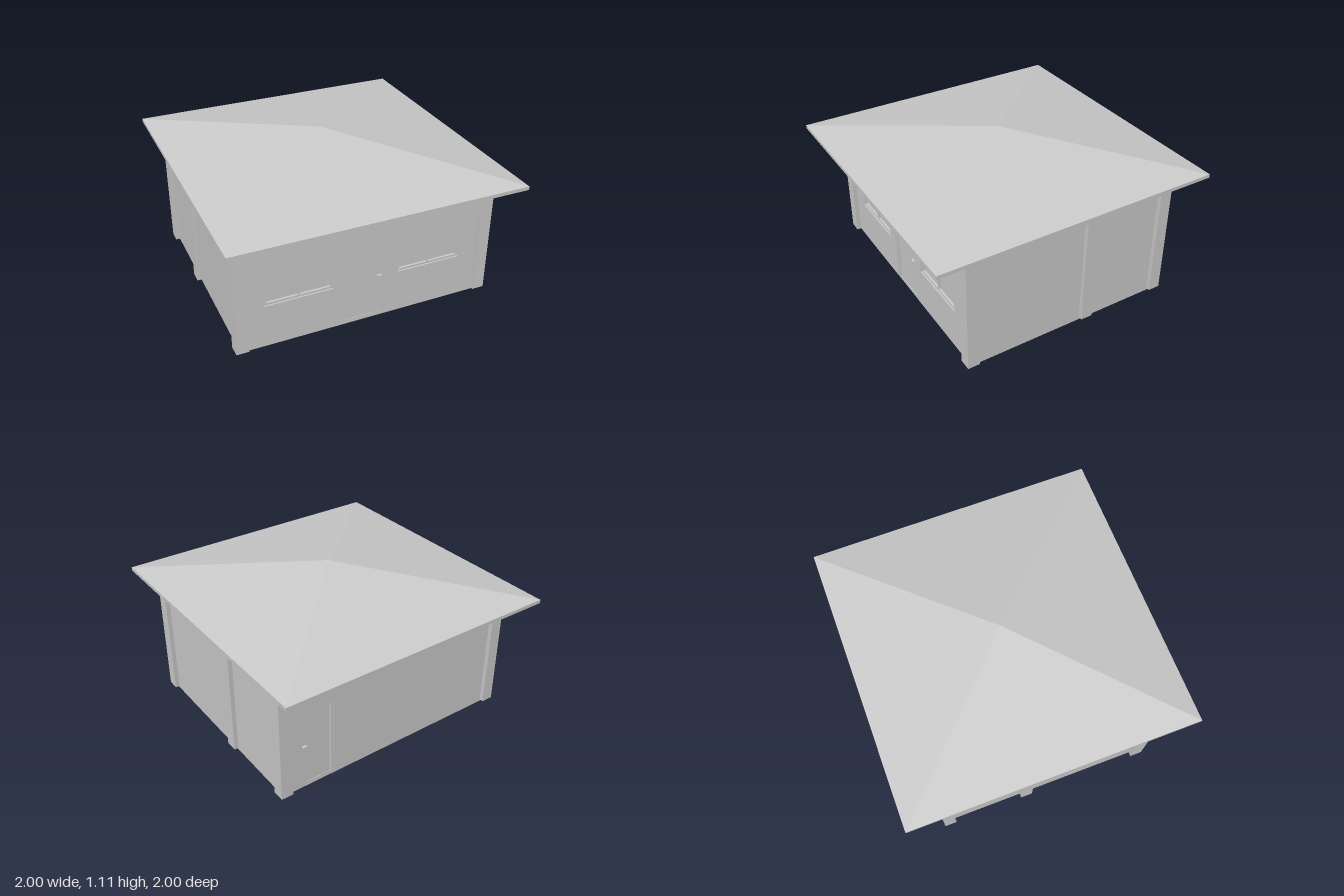
import * as THREE from 'three';

const BASE = 0.03; // top of the floor slab

// Inverted comb outline: legs joined by a beam above height gapTop.
function comb(legs, gapTop, tops) {
  const pts = [];
  legs.forEach(([a, b], i) => {
    if (i > 0) pts.push([a, gapTop]);
    pts.push([a, BASE], [b, BASE]);
    if (i < legs.length - 1) pts.push([b, gapTop]);
  });
  return new THREE.Shape([...pts, ...tops].map(([x, y]) => new THREE.Vector2(x, y)));
}

function rectPath(x0, y0, x1, y1, Type = THREE.Path) {
  return new Type([[x0, y0], [x1, y0], [x1, y1], [x0, y1]].map(([x, y]) => new THREE.Vector2(x, y)));
}

// Pyramid roof of constant thickness with a square eave.
function roofGeometry(half, eaveLow, eaveHigh, apexLow, apexHigh) {
  const pos = [];
  const corners = [[-1, 1], [1, 1], [1, -1], [-1, -1]];
  for (let i = 0; i < 4; i++) {
    const at = (k, y) => [corners[k % 4][0] * half, y, corners[k % 4][1] * half];
    const a = at(i, eaveLow), b = at(i + 1, eaveLow), c = at(i + 1, eaveHigh), d = at(i, eaveHigh);
    pos.push(...d, ...c, 0, apexHigh, 0); // slope
    pos.push(...a, ...b, ...c, ...a, ...c, ...d); // fascia
    pos.push(...b, ...a, 0, apexLow, 0); // soffit
  }
  const g = new THREE.BufferGeometry();
  g.setAttribute('position', new THREE.Float32BufferAttribute(pos, 3));
  g.computeVertexNormals();
  return g;
}

export function createModel() {
  const grey = new THREE.MeshStandardMaterial({ color: 0xcccccc });
  grey.name = 'lightGrey';
  const house = new THREE.Group();
  house.name = 'house';

  const add = (parent, name, geometry, x = 0, y = 0, z = 0) => {
    const m = new THREE.Mesh(geometry, grey);
    m.name = name;
    m.position.set(x, y, z);
    parent.add(m);
    return m;
  };
  const box = (parent, name, x0, x1, y0, y1, z0, z1) =>
    add(parent, name, new THREE.BoxGeometry(x1 - x0, y1 - y0, z1 - z0), (x0 + x1) / 2, (y0 + y1) / 2, (z0 + z1) / 2);
  // Extrudes a shape so that its outer face lies at zFront.
  const slab = (parent, name, shape, zFront, depth) =>
    add(parent, name, new THREE.ExtrudeGeometry(shape, { depth, bevelEnabled: false }), 0, 0, zFront - depth);
  const side = (name, angle) => {
    const g = new THREE.Group();
    g.name = name;
    g.rotation.y = angle;
    house.add(g);
    return g;
  };

  // Floor and roof
  box(house, 'floorSlab', -0.87, 0.87, 0, BASE, -0.725, 0.725);
  add(house, 'roof', roofGeometry(1, 0.905, 0.93, 1.08, 1.105));

  // A door with its thin frame, filling an opening from x0 to x1
  const door = (wall, x0, x1, top, handle0, handle1) => {
    const t = 0.015;
    slab(wall, 'doorFrame', comb([[x0, x0 + t], [x1 - t, x1]], top - t, [[x1, top], [x0, top]]), 0.735, 0.04);
    box(wall, 'doorLeaf', x0 + t, x1 - t, BASE, top - t, 0.69, 0.722);
    box(wall, 'doorHandle', handle0, handle1, 0.325, 0.333, 0.722, 0.74);
  };

  // A two-pane window
  const sash = (wall, x0, x1) => {
    const y0 = 0.325, y1 = 0.585, t = 0.015, mid = (x0 + x1) / 2;
    const frame = rectPath(x0, y0, x1, y1, THREE.Shape);
    frame.holes.push(
      rectPath(x0 + t, y0 + t, mid - 0.005, y1 - t),
      rectPath(mid + 0.005, y0 + t, x1 - t, y1 - t));
    slab(wall, 'windowFrame', frame, 0.73, 0.03);
    box(wall, 'windowPanes', x0, x1, y0, y1, 0.705, 0.714);
  };

  // Front and back: outer posts and beam, with a recessed wall behind
  const longTop = [[0.91, 0.93], [0.77, 0.955], [-0.77, 0.955], [-0.91, 0.93]];
  const longLegs = [[-0.91, -0.825], [0.825, 0.91]];
  const panelTop = [[0.88, 0.92], [-0.88, 0.92]];
  const windows = [[-0.7, -0.235], [0.23, 0.695]];

  const front = side('frontSide', 0);
  slab(front, 'frontPostsAndBeam', comb(longLegs, 0.815, longTop), 0.77, 0.03);
  const frontWall = comb([[-0.88, -0.15], [0.145, 0.88]], 0.615, panelTop);
  windows.forEach(([a, b]) => frontWall.holes.push(rectPath(a, 0.325, b, 0.585)));
  slab(front, 'frontWall', frontWall, 0.74, 0.06);
  windows.forEach(([a, b]) => sash(front, a, b));
  door(front, -0.15, 0.145, 0.615, 0.085, 0.12);

  const back = side('backSide', Math.PI);
  slab(back, 'backPostsAndBeam', comb(longLegs, 0.815, longTop), 0.77, 0.03);
  slab(back, 'backWall', comb([[-0.88, -0.745], [-0.495, 0.88]], 0.6, panelTop), 0.74, 0.06);
  door(back, -0.745, -0.495, 0.6, -0.725, -0.69);

  // Left and right: three posts with two recessed panels
  for (const s of [1, -1]) {
    const wall = side(s > 0 ? 'leftSide' : 'rightSide', (s * Math.PI) / 2);
    const middle = s > 0 ? [0.1, 0.185] : [-0.185, -0.1];
    const posts = comb([[-0.74, -0.685], middle, [0.685, 0.74]], 0.815, [[0.74, 0.93], [-0.74, 0.93]]);
    slab(wall, 'sidePostsAndBeam', posts, 0.91, 0.03);
    box(wall, 'sideWall', -0.68, 0.68, BASE, 0.92, 0.82, 0.88);
  }
  return house;
}
